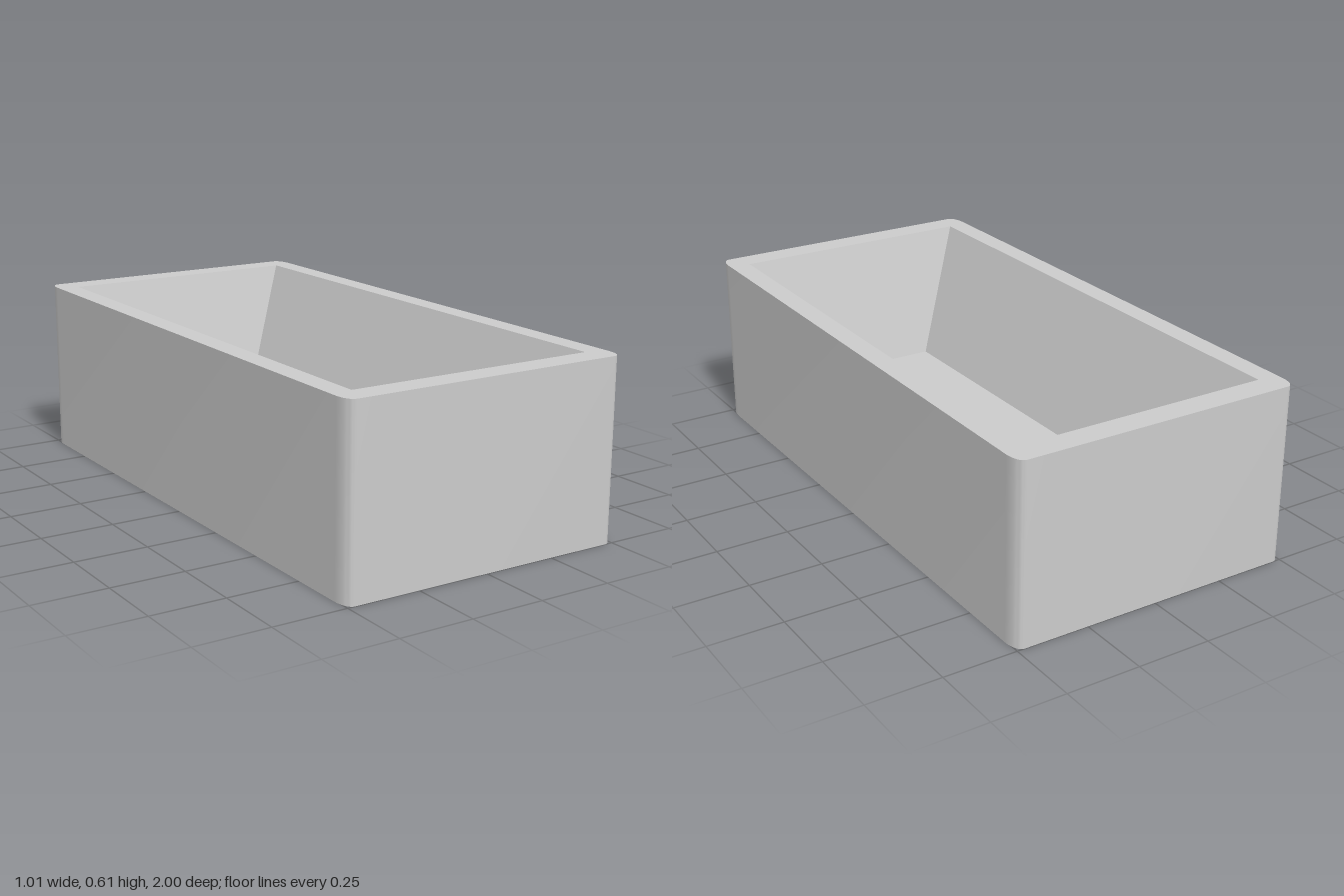
import * as THREE from 'three';
import { toCreasedNormals } from 'three/addons/utils/BufferGeometryUtils.js';

const HEIGHT = 0.607, FLOOR = 0.157;

// Counter-clockwise plan outline with elliptical corners (plan y = -z)
function outline(hx, hz, rx = 0, rz = 0, steps = 0) {
  const pts = [];
  [[1, 1], [-1, 1], [-1, -1], [1, -1]].forEach(([sx, sy], k) => {
    for (let i = 0; i <= steps; i++) {
      const a = (k + (steps ? i / steps : 0)) * Math.PI / 2;
      pts.push(new THREE.Vector2(
        sx * (hx - rx) + rx * Math.cos(a),
        sy * (hz - rz) + rz * Math.sin(a)));
    }
  });
  return pts;
}

// Wall strip between two outlines; faces outward going up, inward going down
function loft(from, y0, to, y1) {
  const pos = [];
  const n = from.length;
  for (let i = 0; i < n; i++) {
    const j = (i + 1) % n;
    const a = [from[i].x, y0, -from[i].y], b = [from[j].x, y0, -from[j].y];
    const A = [to[i].x, y1, -to[i].y], B = [to[j].x, y1, -to[j].y];
    pos.push(...a, ...b, ...B, ...a, ...B, ...A);
  }
  const g = new THREE.BufferGeometry();
  g.setAttribute('position', new THREE.Float32BufferAttribute(pos, 3));
  return toCreasedNormals(g, Math.PI / 6);
}

// Flat horizontal panel, optionally with a hole
function panel(pts, y, up = true, hole) {
  const shape = new THREE.Shape(pts);
  if (hole) shape.holes.push(new THREE.Path(hole));
  return new THREE.ShapeGeometry(shape).rotateX(up ? -Math.PI / 2 : Math.PI / 2).translate(0, y, 0);
}

export function createModel() {
  const group = new THREE.Group();
  const grey = new THREE.MeshStandardMaterial({ color: 0xcccccc });
  const dark = new THREE.MeshStandardMaterial({ color: 0x4a4a4a });
  const add = (name, geometry, material = grey) => {
    const mesh = new THREE.Mesh(geometry, material);
    mesh.name = name;
    group.add(mesh);
    return mesh;
  };

  const outer = outline(0.505, 1, 0.03, 0.06, 8);
  const opening = outline(0.433, 0.912);
  const floor = outline(0.24, 0.787);

  // Outer block
  add('outerWalls', loft(outer, 0, outer, HEIGHT));
  add('underside', panel(outer, 0, false));
  add('rim', panel(outer, HEIGHT, true, opening));

  // Sloping basin
  add('basinWalls', loft(opening, HEIGHT, floor, FLOOR));
  add('basinFloor', panel(floor, FLOOR));

  // Drain near the back end
  add('drain', new THREE.CylinderGeometry(0.054, 0.054, 0.006, 32), dark)
    .position.set(0, FLOOR + 0.001, -0.627);

  return group;
}
